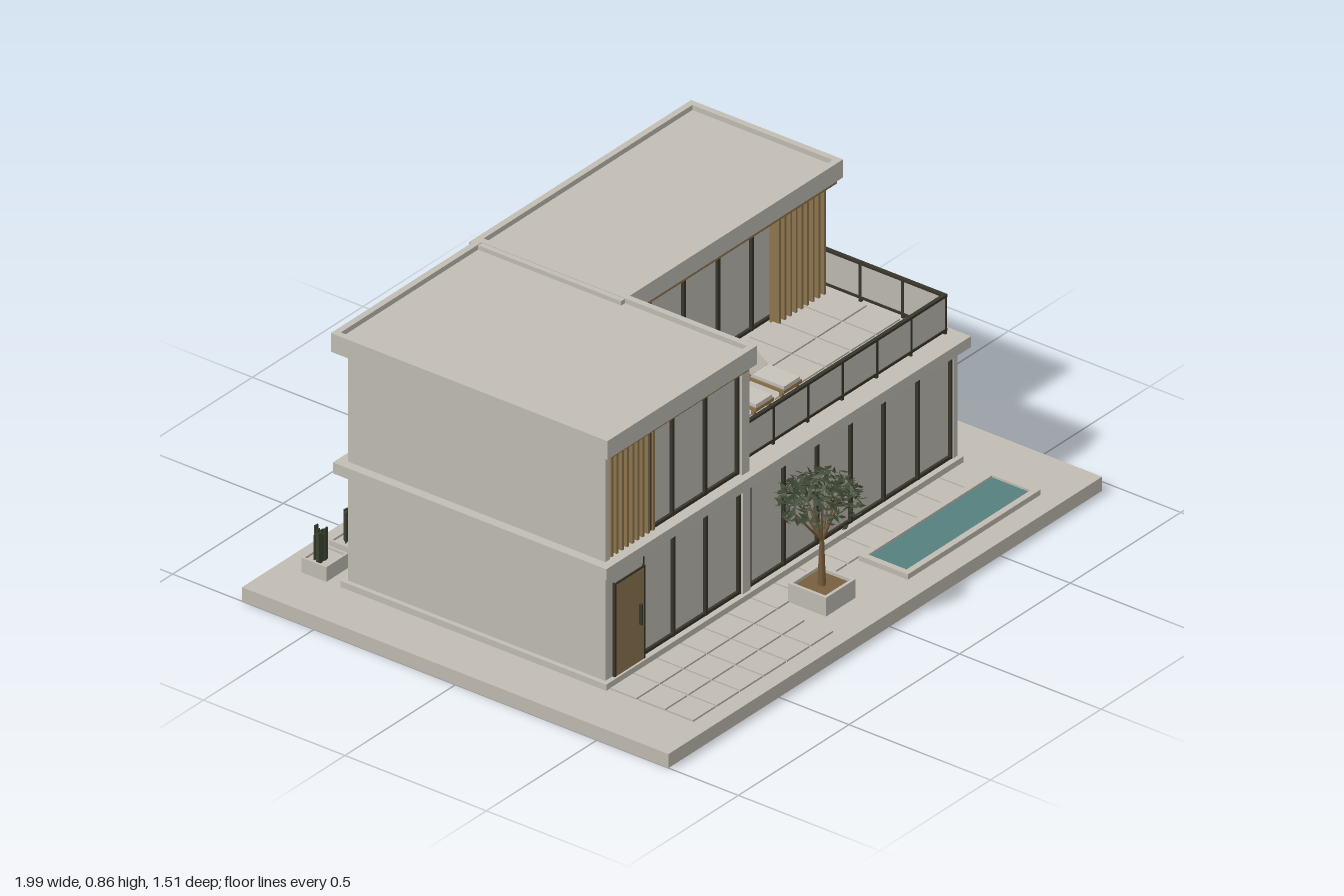
import * as THREE from 'three';

const mat = (name, color, extra = {}) => Object.assign(new THREE.MeshStandardMaterial({ color, ...extra }), { name });
const wall = mat('plaster', 0xc2beb4);
const glass = mat('pale glass', 0xbfbcb3);
const stone = mat('paving stone', 0xc1bdb3);
const wood = mat('timber', 0x8f7750);
const metal = mat('dark metal', 0x38352a);
const water = mat('pool water', 0x55807e);
const bark = mat('bark', 0x77603f);
const leaf = mat('foliage', 0x3d4733, { side: THREE.DoubleSide });
const fabric = mat('cushion', 0xc6c3ba);

// Small seeded generator
function seeded(seed) {
  let s = seed;
  return () => (s = (s * 16807) % 2147483647) / 2147483647;
}

// Box given by its limits on each axis
function box(parent, name, m, x0, x1, y0, y1, z0, z1) {
  const mesh = new THREE.Mesh(new THREE.BoxGeometry(x1 - x0, y1 - y0, z1 - z0), m);
  mesh.position.set((x0 + x1) / 2, (y0 + y1) / 2, (z0 + z1) / 2);
  mesh.name = name;
  parent.add(mesh);
  return mesh;
}

function rod(parent, name, m, a, b, r0, r1, sides = 6) {
  const d = b.clone().sub(a);
  const mesh = new THREE.Mesh(new THREE.CylinderGeometry(r1, r0, d.length(), sides), m);
  mesh.position.copy(a).addScaledVector(d, 0.5);
  mesh.quaternion.setFromUnitVectors(new THREE.Vector3(0, 1, 0), d.normalize());
  mesh.name = name;
  parent.add(mesh);
}

function group(parent, name) {
  const g = new THREE.Group();
  g.name = name;
  parent.add(g);
  return g;
}

// Rectangular upstand with an open middle
function rim(parent, name, m, x0, x1, y0, y1, z0, z1, t) {
  box(parent, name, m, x0, x1, y0, y1, z0, z0 + t);
  box(parent, name, m, x0, x1, y0, y1, z1 - t, z1);
  box(parent, name, m, x0, x0 + t, y0, y1, z0 + t, z1 - t);
  box(parent, name, m, x1 - t, x1, y0, y1, z0 + t, z1 - t);
}

// Window wall facing +z, with mullions at the given x positions
function windowFront(parent, xs, y0, y1, z) {
  const x0 = xs[0], x1 = xs[xs.length - 1], w = 0.005;
  box(parent, 'glazing', glass, x0, x1, y0, y1, z - 0.006, z);
  for (const x of xs) box(parent, 'mullion', metal, x - w, x + w, y0, y1, z - 0.005, z + 0.01);
  for (const y of [y0, y1 - 0.01]) box(parent, 'windowRail', metal, x0, x1, y, y + 0.01, z - 0.005, z + 0.009);
}

// Grid of paving slabs with narrow joints
function paving(parent, xs, zs, y) {
  for (let i = 0; i < xs.length - 1; i++)
    for (let j = 0; j < zs.length - 1; j++)
      box(parent, 'pavingSlab', stone, xs[i] + 0.003, xs[i + 1] - 0.003, y, y + 0.006, zs[j] + 0.003, zs[j + 1] - 0.003);
}
const steps = (a, b, n) => Array.from({ length: n + 1 }, (_, i) => a + ((b - a) * i) / n);

// Potted tree: square pot, forked trunk and a dome of loose leaves
function tree(parent, x, z, lift, cx, cz, rx, rz, seed) {
  const g = group(parent, 'tree'), rnd = seeded(seed);
  g.position.set(x, 0.045, z);
  rim(g, 'treePot', wall, -0.067, 0.067, 0, 0.06, -0.067, 0.067, 0.01);
  box(g, 'soil', bark, -0.057, 0.057, 0, 0.05, -0.057, 0.057);
  const fork = new THREE.Vector3(0, 0.19 + lift, 0);
  for (let i = 0; i < 3; i++) {
    const a = (i * Math.PI * 2) / 3;
    rod(g, 'trunk', bark, new THREE.Vector3(Math.cos(a) * 0.005, 0.05, Math.sin(a) * 0.005), fork, 0.009, 0.007);
  }
  const pos = [];
  const v = new THREE.Vector3(), c = new THREE.Vector3();
  const e = new THREE.Euler(), corners = [[-1, 0], [0, -0.36], [1, 0], [0, 0.36]];
  const addLeaf = (size) => {
    e.set(-Math.PI / 2 + (rnd() - 0.5) * 1.7, (rnd() - 0.5) * 1.2, rnd() * 6.28);
    const p = corners.map(([u, w]) => v.set(u * size, w * size, 0).applyEuler(e).add(c).toArray());
    pos.push(...p[0], ...p[1], ...p[2], ...p[0], ...p[2], ...p[3]);
  };
  for (let i = 0; i < 11; i++) {
    const a = i * 2.4, r = 0.35 + 0.5 * rnd();
    const tip = new THREE.Vector3(cx + Math.cos(a) * rx * r, 0.31 + lift + 0.04 * (1 - r), cz + Math.sin(a) * rz * r);
    rod(g, 'branch', bark, fork, tip, 0.005, 0.002, 5);
  }
  for (let i = 0; i < 430; i++) {
    const a = rnd() * 6.2832, r = Math.sqrt(rnd()) * 0.9;
    const top = 0.4 + lift - 0.06 * r * r;
    c.set(cx + Math.cos(a) * rx * r, top - rnd() * (0.085 - 0.015 * r), cz + Math.sin(a) * rz * r);
    addLeaf(0.013 + rnd() * 0.008);
  }
  const geo = new THREE.BufferGeometry();
  geo.setAttribute('position', new THREE.Float32BufferAttribute(pos, 3));
  geo.computeVertexNormals();
  const mesh = new THREE.Mesh(geo, leaf);
  mesh.name = 'leaves';
  g.add(mesh);
}

export function createModel() {
  const model = new THREE.Group();
  model.name = 'modernHouse';

  // Site and plinth
  box(model, 'siteSlab', stone, -1, 0.96, 0, 0.045, -0.755, 0.753);
  box(model, 'plinth', wall, -0.83, 0.785, 0.045, 0.065, -0.54, 0.4);

  // Ground floor
  const ground = group(model, 'groundFloor');
  box(ground, 'groundWalls', wall, -0.815, 0.765, 0.065, 0.412, -0.525, 0.367);
  box(ground, 'doorWall', wall, -0.815, -0.645, 0.065, 0.412, 0.367, 0.385);
  box(ground, 'centrePier', wall, -0.2, -0.165, 0.065, 0.412, 0.367, 0.39);
  box(ground, 'cornerPier', wall, 0.758, 0.778, 0.065, 0.412, 0.35, 0.385);
  box(ground, 'backPier', wall, 0.758, 0.778, 0.065, 0.412, -0.525, -0.505);
  windowFront(ground, [-0.64, -0.5, -0.353, -0.205], 0.065, 0.405, 0.373);
  windowFront(ground, [-0.157, 0, 0.15, 0.302, 0.452, 0.605, 0.755], 0.065, 0.405, 0.373);
  const side = group(ground, 'sideWindows');
  windowFront(side, [-0.347, -0.2, -0.024, 0.15, 0.328, 0.503], 0.065, 0.405, 0);
  side.rotation.y = Math.PI / 2;
  side.position.x = 0.771;

  // Front door
  box(ground, 'frontDoor', wood, -0.777, -0.65, 0.055, 0.36, 0.38, 0.393);
  rim(ground, 'doorFrame', metal, -0.782, -0.645, 0.36, 0.365, 0.38, 0.394, 0.004);
  for (const x of [-0.78, -0.648]) box(ground, 'doorJamb', metal, x - 0.003, x + 0.003, 0.055, 0.36, 0.38, 0.394);
  box(ground, 'doorHandle', metal, -0.673, -0.667, 0.185, 0.25, 0.393, 0.403);

  // Floor band and terrace
  box(model, 'floorBand', wall, -0.845, 0.803, 0.412, 0.447, -0.555, 0.412);
  box(model, 'bandSoffit', wood, -0.2, 0.77, 0.406, 0.412, 0.367, 0.39);
  const terrace = group(model, 'terrace');
  paving(terrace, steps(-0.16, 0.755, 8), [-0.07, 0.085, 0.205, 0.335], 0.447);

  // Upper floor
  const upper = group(model, 'upperFloor');
  box(upper, 'leftRoomWalls', wall, -0.8, -0.175, 0.447, 0.797, -0.525, 0.362);
  box(upper, 'endPier', wall, -0.815, -0.793, 0.447, 0.797, -0.525, 0.385);
  box(upper, 'innerPier', wall, -0.2, -0.168, 0.447, 0.797, -0.05, 0.388);
  box(upper, 'rightRoomWalls', wall, -0.18, 0.77, 0.447, 0.797, -0.53, -0.1);
  box(upper, 'farPier', wall, 0.765, 0.783, 0.447, 0.797, -0.53, -0.085);
  box(upper, 'backFin', wall, -0.195, -0.175, 0.447, 0.797, -0.54, -0.52);
  windowFront(upper, [-0.6, -0.5, -0.352, -0.207], 0.45, 0.787, 0.37);
  windowFront(upper, [-0.163, -0.013, 0.142, 0.297, 0.45, 0.6, 0.763], 0.45, 0.787, -0.092);
  for (let i = 0; i < 9; i++) {
    const x = -0.787 + i * 0.0235;
    box(upper, 'louvre', wood, x, x + 0.009, 0.45, 0.787, 0.363, 0.385);
  }
  box(upper, 'louvreBacking', metal, -0.793, -0.6, 0.45, 0.787, 0.36, 0.366);
  for (let i = 0; i < 9; i++) {
    const x = 0.52 + i * 0.0255;
    box(upper, 'louvre', wood, x, x + 0.008, 0.447, 0.787, -0.078, -0.045);
  }

  // Roofs with raised edges and timber soffits
  const roofs = group(model, 'roofs');
  for (const [x0, x1, z0, z1, h] of [[-0.84, -0.163, -0.566, 0.412, 0.857], [-0.2, 0.803, -0.577, -0.04, 0.855]]) {
    box(roofs, 'roofSlab', wall, x0, x1, 0.797, h - 0.016, z0, z1);
    rim(roofs, 'parapet', wall, x0, x1, h - 0.016, h, z0, z1, 0.02);
  }
  box(roofs, 'leftSoffit', wood, -0.815, -0.19, 0.787, 0.797, 0.35, 0.405);
  box(roofs, 'rightSoffit', wood, -0.165, 0.78, 0.787, 0.797, -0.115, -0.043);

  // Glass balustrade
  const rail = group(terrace, 'balustrade');
  box(rail, 'frontPane', glass, -0.165, 0.77, 0.462, 0.568, 0.343, 0.349);
  box(rail, 'sidePane', glass, 0.766, 0.772, 0.462, 0.568, -0.085, 0.346);
  for (const y of [0.457, 0.566]) {
    box(rail, 'frontRail', metal, -0.168, 0.775, y, y + 0.008, 0.34, 0.352);
    box(rail, 'sideRail', metal, 0.763, 0.775, y, y + 0.008, -0.085, 0.352);
  }
  for (const x of steps(-0.165, 0.77, 6)) box(rail, 'railPost', metal, x - 0.004, x + 0.004, 0.447, 0.57, 0.341, 0.351);
  for (const z of [0.05, 0.2]) box(rail, 'railPost', metal, 0.764, 0.774, 0.447, 0.57, z - 0.004, z + 0.004);

  // Sun loungers
  for (const x of [0.113, 0.24]) {
    const g = group(terrace, 'sunLounger');
    g.position.set(x, 0.453, 0);
    box(g, 'loungerFrame', wood, -0.041, 0.041, 0.016, 0.026, 0.04, 0.224);
    box(g, 'loungerSeat', fabric, -0.036, 0.036, 0.026, 0.036, 0.1, 0.22);
    for (const sx of [-0.034, 0.034]) for (const z of [0.05, 0.21])
      box(g, 'loungerLeg', wood, sx - 0.005, sx + 0.005, 0, 0.016, z - 0.005, z + 0.005);
    const back = group(g, 'loungerBack');
    box(back, 'backFrame', wood, -0.041, 0.041, -0.004, 0.004, -0.088, 0);
    box(back, 'backCushion', fabric, -0.036, 0.036, 0.004, 0.012, -0.086, 0);
    back.position.set(0, 0.028, 0.102);
    back.rotation.x = 0.6;
  }

  // Garden path and pool
  const garden = group(model, 'garden');
  paving(garden, steps(-0.82, 0.775, 15), [0.402, 0.5], 0.045);
  paving(garden, steps(-0.82, -0.182, 6), [0.5, 0.6, 0.7], 0.045);
  rim(garden, 'poolEdge', stone, 0.175, 0.775, 0.045, 0.062, 0.505, 0.68, 0.02);
  box(garden, 'poolWater', water, 0.195, 0.755, 0.045, 0.055, 0.525, 0.66);

  // Trees
  tree(model, -0.06, 0.56, 0, 0.005, -0.01, 0.135, 0.13, 11);
  tree(model, 0.865, -0.378, 0.05, 0.02, -0.005, 0.1, 0.128, 77);

  // Row of planters with upright stems
  const rnd = seeded(5);
  for (let i = 0; i < 4; i++) {
    const g = group(model, 'planter');
    g.position.set(-0.782 + i * 0.1245, 0.045, -0.632);
    rim(g, 'planterBox', wall, -0.05, 0.05, 0, 0.047, -0.044, 0.044, 0.007);
    box(g, 'planterSoil', stone, -0.043, 0.043, 0, 0.04, -0.037, 0.037);
    for (let k = 0; k < 8; k++) {
      const x = (rnd() - 0.5) * 0.066, z = (rnd() - 0.5) * 0.05, h = 0.11 + rnd() * 0.035;
      const stem = box(g, 'stem', leaf, x - 0.007, x + 0.007, 0.035, h, z - 0.002, z + 0.002);
      stem.rotation.y = (rnd() - 0.5) * 1.2;
    }
  }
  return model;
}
